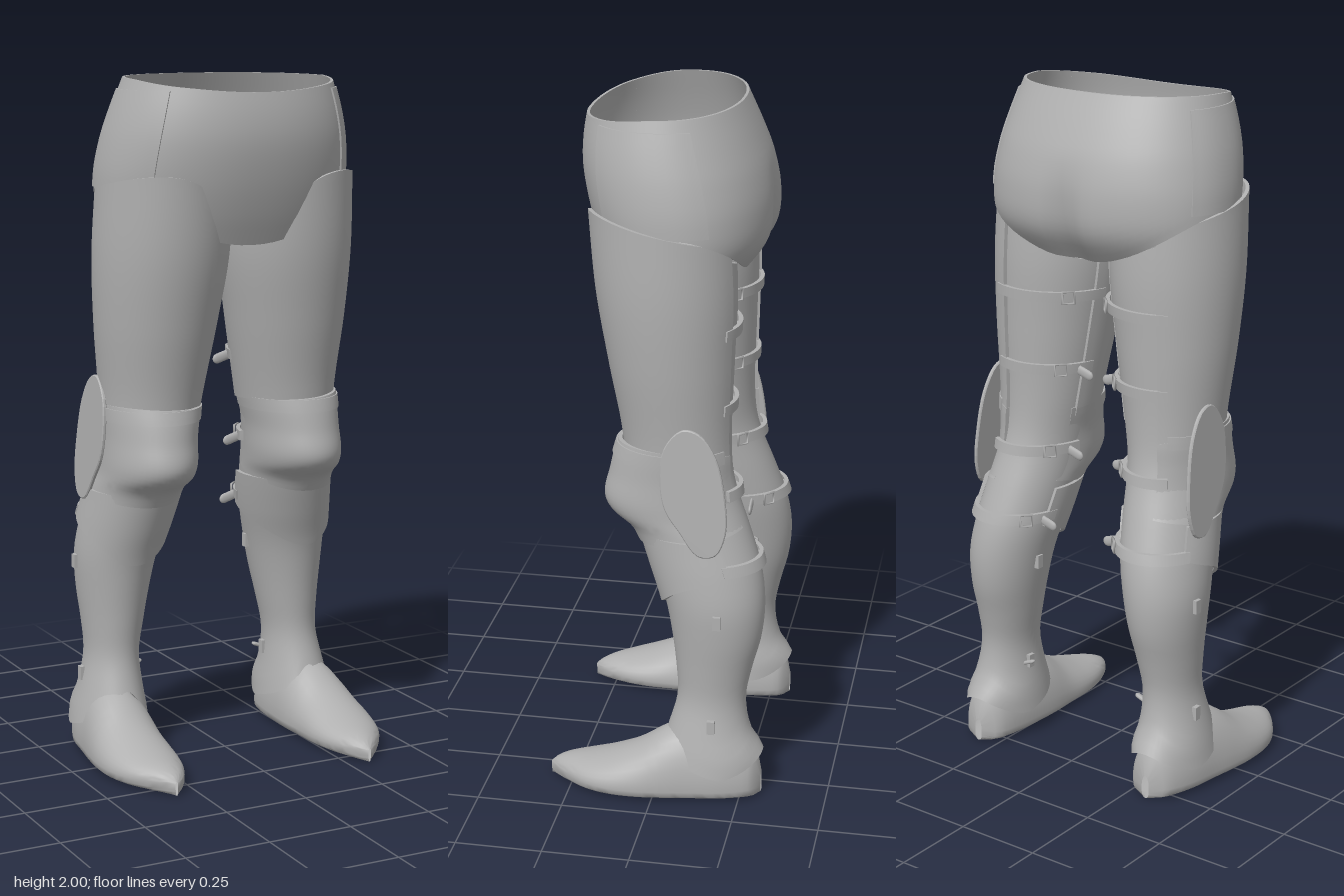
import * as THREE from 'three';
import { mergeVertices, toCreasedNormals } from 'three/addons/utils/BufferGeometryUtils.js';
import { ParametricGeometry } from 'three/addons/geometries/ParametricGeometry.js';

const steel = new THREE.MeshStandardMaterial({ color: 0xb0b0b0, side: THREE.DoubleSide });
steel.name = 'grey steel';

const rad = THREE.MathUtils.degToRad;
const power = (v, p) => Math.sign(v) * Math.abs(v) ** p;

// Smooth interpolation through rows [t, ...values], sorted by t
function sample(rows, t) {
  const n = rows.length - 1;
  if (t <= rows[0][0]) return rows[0].slice(1);
  if (t >= rows[n][0]) return rows[n].slice(1);
  let i = 0;
  while (t > rows[i + 1][0]) i++;
  const p = rows[i], q = rows[i + 1], h = q[0] - p[0], s = (t - p[0]) / h;
  const before = rows[Math.max(i - 1, 0)], after = rows[Math.min(i + 2, n)];
  return p.slice(1).map((v, k) => {
    const w = q[k + 1];
    const m0 = (w - before[k + 1]) / (q[0] - before[0]) * h;
    const m1 = (after[k + 1] - v) / (after[0] - p[0]) * h;
    return (2 * s ** 3 - 3 * s * s + 1) * v + (s ** 3 - 2 * s * s + s) * m0
      + (3 * s * s - 2 * s ** 3) * w + (s ** 3 - s * s) * m1;
  });
}

// Upright surface from rows [y, inner x, outer x, front z, back z]
// Angle 0 is outer, 90 front, 180 inner, 270 back
const upright = (rows, p = 1) => (a, y, off) => {
  const [xi, xo, zf, zb] = sample(rows, y), r = rad(a);
  return [(xi + xo) / 2 + ((xo - xi) / 2 + off) * power(Math.cos(r), p), y,
    (zf + zb) / 2 + ((zf - zb) / 2 + off) * power(Math.sin(r), p)];
};

// Curved plate cut from a surface; edges fold inwards when it has a lip
function plate(name, surf, { a0 = 0, a1 = 360, top, bottom, off = 0, lip = 0, cols = 40, rows = 24 }) {
  const edge = (e, a) => (typeof e === 'number' ? e : sample(e, a)[0]);
  const steps = (n, fold) => {
    const list = Array.from({ length: n + 1 }, (_, i) => [i / n, 0]);
    return fold ? [[0, lip], ...list, [1, lip]] : list;
  };
  const us = steps(cols, lip && a1 - a0 < 360), vs = steps(rows, lip);
  const pos = [], index = [];
  us.forEach(([u, du]) => vs.forEach(([v, dv]) => {
    const a = a0 + (a1 - a0) * u, b = edge(bottom, a);
    pos.push(...surf(a, b + (edge(top, a) - b) * v, off - Math.max(du, dv)));
  }));
  const m = vs.length;
  for (let i = 0; i < us.length - 1; i++) {
    for (let j = 0; j < m - 1; j++) {
      const k = i * m + j;
      index.push(k, k + 1, k + m, k + 1, k + m + 1, k + m);
    }
  }
  const geo = new THREE.BufferGeometry();
  geo.setAttribute('position', new THREE.Float32BufferAttribute(pos, 3));
  geo.setIndex(index);
  return part(name, toCreasedNormals(mergeVertices(geo, 1e-5), 0.8));
}

function part(name, geo) {
  const mesh = new THREE.Mesh(geo, steel);
  mesh.name = name;
  return mesh;
}

const legSurface = upright([
  [0.08, 0.2, 0.425, 0, -0.312], [0.14, 0.205, 0.415, -0.01, -0.312], [0.2, 0.215, 0.4, -0.032, -0.275],
  [0.3, 0.222, 0.38, -0.058, -0.258], [0.4, 0.205, 0.385, -0.053, -0.275], [0.5, 0.185, 0.395, -0.04, -0.3],
  [0.6, 0.165, 0.4, -0.02, -0.307], [0.7, 0.142, 0.39, 0.015, -0.293], [0.8, 0.125, 0.375, 0.05, -0.26],
  [0.95, 0.105, 0.355, 0.1, -0.207], [1.07, 0.085, 0.355, 0.1, -0.195], [1.3, 0.045, 0.375, 0.143, -0.2],
  [1.5, 0.016, 0.383, 0.178, -0.205], [1.73, 0.014, 0.375, 0.198, -0.19],
]);

const kneeSurface = upright([
  [0.77, 0.122, 0.385, 0.06, -0.275], [0.82, 0.118, 0.378, 0.092, -0.255], [0.86, 0.11, 0.372, 0.148, -0.235],
  [0.9, 0.105, 0.37, 0.165, -0.222], [0.97, 0.1, 0.367, 0.15, -0.212], [1.03, 0.088, 0.368, 0.137, -0.21],
  [1.08, 0.078, 0.368, 0.122, -0.205],
]);

const pelvisBase = upright([
  [1.53, -0.34, 0.34, 0.17, -0.215], [1.62, -0.37, 0.37, 0.205, -0.278], [1.72, -0.375, 0.375, 0.235, -0.288],
  [1.82, -0.362, 0.362, 0.253, -0.27], [1.9, -0.342, 0.342, 0.252, -0.24], [2, -0.31, 0.31, 0.235, -0.195],
], 0.92);

// Pelvis with a soft crease down the lower back
const pelvisSurface = (a, y, off) => {
  const [x, , z] = pelvisBase(a, y, off);
  const low = THREE.MathUtils.smoothstep(1.85 - y, 0, 0.25);
  return [x, y, z < 0 ? z + 0.03 * low * Math.exp(-((x / 0.05) ** 2)) : z];
};

// Foot swept along z from rows [z, inner x, outer x, top y]
const footRows = [
  [-0.308, 0.3, 0.325, 0.07], [-0.3, 0.27, 0.355, 0.12], [-0.275, 0.245, 0.38, 0.16], [-0.2, 0.228, 0.408, 0.21],
  [-0.1, 0.22, 0.425, 0.22], [-0.03, 0.218, 0.437, 0.197], [0.05, 0.222, 0.446, 0.145], [0.13, 0.225, 0.442, 0.108],
  [0.2, 0.238, 0.42, 0.086], [0.26, 0.262, 0.38, 0.072], [0.3, 0.287, 0.345, 0.056], [0.32, 0.312, 0.32, 0.04],
];
const footSurface = (a, z) => {
  const [xi, xo, top] = sample(footRows, z), r = rad(-a), s = Math.sin(r);
  const y = s > 0 ? 0.035 + (top - 0.035) * s : 0.035 - 0.035 * Math.abs(s) ** 0.5;
  return [(xi + xo) / 2 + (xo - xi) / 2 * Math.cos(r), y, z];
};

// Strap round the back of the leg with a buckle and, optionally, a loose end
function strap(y, surf, a0, a1, loose) {
  const g = new THREE.Group();
  g.name = 'strap';
  g.add(plate('strapBand', surf, { a0, a1, top: y + 0.015, bottom: y - 0.015, off: 0.017, lip: 0.012, cols: 20, rows: 2 }));
  const buckle = part('buckle', new THREE.TorusGeometry(0.024, 0.004, 5, 4).rotateZ(Math.PI / 4));
  buckle.position.set(...surf(225, y, 0.02));
  buckle.rotation.y = rad(225);
  g.add(buckle);
  if (loose) {
    const end = part('strapEnd', new THREE.CapsuleGeometry(0.015, 0.035, 4, 10).rotateZ(Math.PI / 2).scale(1, 1, 0.4));
    const [x, , z] = surf(205, y, 0.02);
    end.position.set(x - 0.012, y - 0.012, z);
    end.rotation.z = 0.3;
    g.add(end);
  }
  return g;
}

function buildLeg(name) {
  const leg = new THREE.Group();
  leg.name = name;
  leg.add(plate('legShell', legSurface, {
    top: [[0, 1.7], [90, 1.67], [180, 1.54], [270, 1.58], [360, 1.7]],
    bottom: [[0, 0.09], [45, 0.13], [90, 0.205], [135, 0.13], [180, 0.09], [200, 0.082], [270, 0.14], [340, 0.082], [360, 0.09]],
    lip: 0.008, cols: 48, rows: 50,
  }));
  leg.add(plate('thighPlate', legSurface, {
    a0: -70, a1: 200, off: 0.012, lip: 0.011,
    top: [[-70, 1.64], [0, 1.7], [50, 1.73], [85, 1.72], [120, 1.65], [155, 1.56], [200, 1.52]],
    bottom: [[-70, 1], [0, 1.05], [90, 1.065], [200, 1.05]],
  }));
  leg.add(plate('kneeCap', kneeSurface, {
    a0: -72, a1: 205, lip: 0.012,
    top: [[-72, 1.04], [0, 1.07], [90, 1.065], [205, 1.05]],
    bottom: [[-72, 0.83], [90, 0.775], [205, 0.83]],
  }));
  leg.add(plate('kneeBand', kneeSurface, {
    a0: -60, a1: 200, top: 1.062, bottom: 1.025, off: 0.004, lip: 0.004, rows: 3,
  }));
  leg.add(plate('shinPlate', legSurface, {
    a0: -30, a1: 200, off: 0.014, lip: 0.012, rows: 14,
    top: 0.81, bottom: [[-30, 0.72], [20, 0.67], [90, 0.59], [160, 0.66], [200, 0.7]],
  }));

  // Side wing of the knee
  const outline = [[0.02, 0.99], [0.03, 1.09], [0.08, 1.148], [0.13, 1.138], [0.178, 1.07], [0.205, 0.95],
    [0.208, 0.85], [0.18, 0.785], [0.13, 0.78], [0.075, 0.85], [0.035, 0.91]];
  const curve = new THREE.CatmullRomCurve3(outline.map(([z, y]) => new THREE.Vector3(z, y, 0)), true);
  const wingGeo = new THREE.ExtrudeGeometry(new THREE.Shape(curve.getPoints(44).map(p => new THREE.Vector2(p.x, p.y))),
    { depth: 0.006, bevelSize: 0.003, bevelThickness: 0.003, bevelOffset: -0.003, bevelSegments: 1 });
  const wing = part('kneeWing', wingGeo.rotateY(Math.PI / 2));
  wing.rotation.z = 0.06;
  wing.position.x = 0.434;
  leg.add(wing);

  leg.add(strap(1.4, legSurface, 190, 300, false), strap(1.18, legSurface, 190, 300, true));
  leg.add(strap(0.93, kneeSurface, 195, 300, true), strap(0.73, legSurface, 190, 335, true));

  // Small clasps on both sides of the shin
  for (const y of [0.58, 0.24]) {
    for (const a of [-8, 188]) {
      const clasp = part('clasp', new THREE.BoxGeometry(0.014, 0.04, 0.022));
      clasp.position.set(...legSurface(a, y, 0.003));
      leg.add(clasp);
    }
  }
  const ankleEnd = part('ankleStrapEnd', new THREE.CapsuleGeometry(0.01, 0.03, 4, 8).scale(0.6, 1, 1).rotateZ(1.2));
  ankleEnd.position.set(...legSurface(195, 0.24, 0.01));
  leg.add(ankleEnd);

  leg.add(plate('foot', footSurface, { top: 0.32, bottom: -0.308, cols: 32, rows: 40 }));
  return leg;
}

export function createModel() {
  const model = new THREE.Group();
  model.name = 'legArmour';

  const waist = [[0, 1.995], [45, 1.975], [90, 1.96], [135, 1.975], [180, 1.995], [270, 2], [360, 1.995]];
  const hem = Array.from({ length: 25 }, (_, i) => [i * 15, 1.53 + 0.16 * Math.cos(rad(i * 15)) ** 2]);
  model.add(plate('pelvis', pelvisSurface, { top: waist, bottom: hem, lip: 0.008, cols: 72, rows: 20 }));

  // Saddle joining front and back between the legs
  model.add(part('crotch', new ParametricGeometry((u, v, t) => {
    const x = (u - 0.5) * 0.16;
    t.set(x, 1.53 + 6 * x * x, 0.168 - 0.36 * v);
  }, 12, 8)));

  for (const side of [1, -1]) {
    const leg = buildLeg(side > 0 ? 'leftLeg' : 'rightLeg');
    leg.add(plate('hipPanel', pelvisSurface, { a0: -25, a1: 40, top: 1.965, bottom: 1.69, off: 0.005, lip: 0.005, cols: 14, rows: 10 }));
    leg.scale.x = side;
    model.add(leg);
  }
  return model;
}
